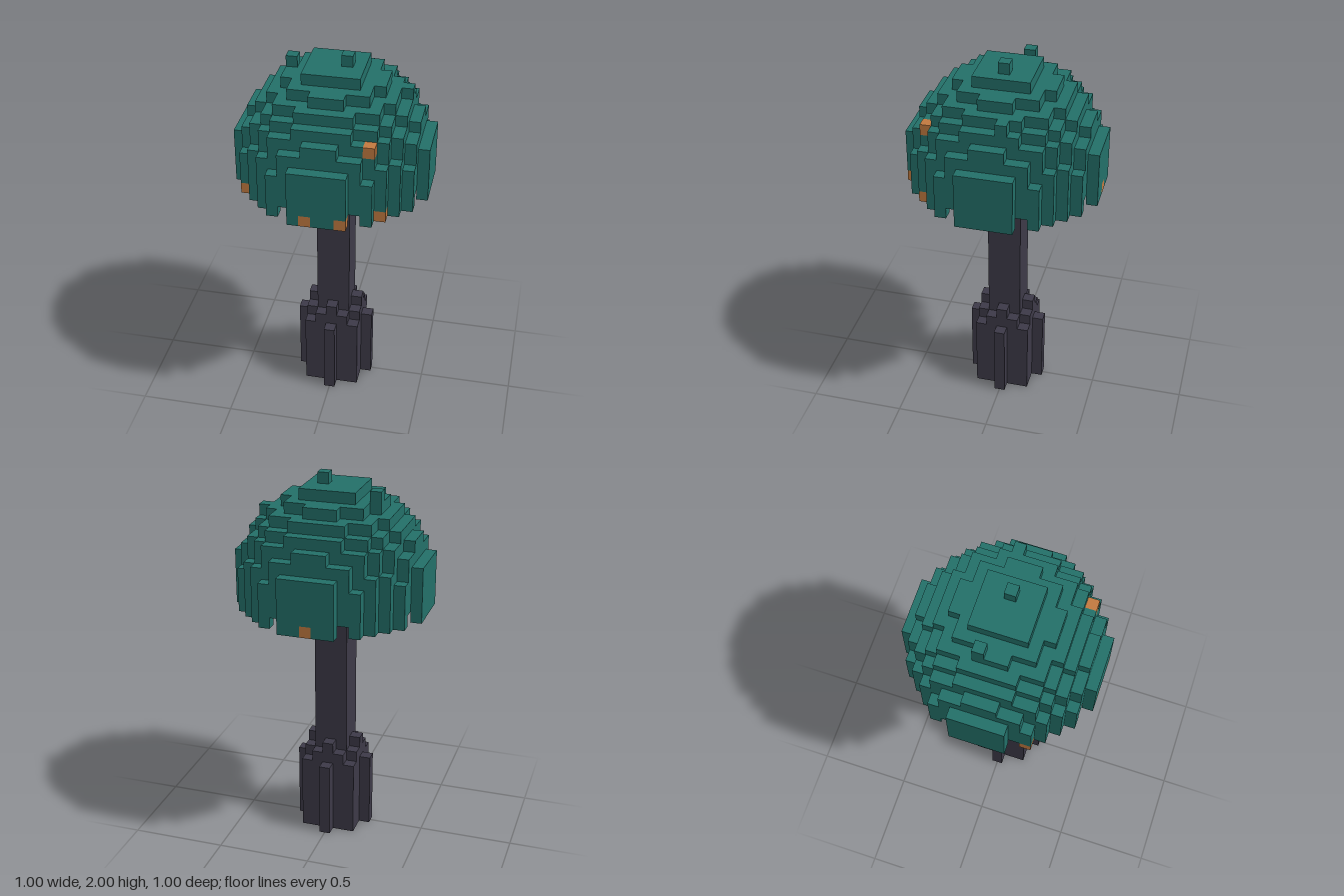
import * as THREE from 'three';
import { mergeGeometries } from 'three/addons/utils/BufferGeometryUtils.js';

const S = 2 / 34; // edge of one block
const key = (x, y, z) => `${x},${y},${z}`;

export function createModel() {
  const mat = (name, color) => {
    const m = new THREE.MeshStandardMaterial({ color });
    m.name = name;
    return m;
  };
  const materials = {
    cap: mat('teal', 0x237069),
    stem: mat('dark violet grey', 0x3d3a48),
    glowBlocks: mat('orange', 0xc27a40),
  };
  const blocks = new Map();
  const put = (part, x, y, z) => blocks.set(key(x, y, z), { part, x, y, z });

  // Cap: hollow dome with a straight skirt and square plates on its extremes
  for (let y = 22; y <= 32; y++) {
    const h = Math.max(0, y - 24);
    for (let x = -8; x <= 8; x++) {
      for (let z = -8; z <= 8; z++) {
        const flat = x * x + z * z;
        const d = flat + h * h;
        const [a, b, c] = [Math.abs(x), Math.abs(z), h].sort((p, q) => p - q);
        const plate = c === 8 && b <= 2 && a <= 2;
        if (d > 68 && !plate) continue;
        // only the outermost ring hangs down to the lowest layer
        if (y === 22 ? flat < 60 : d < 42) continue;
        put('cap', x, y, z);
      }
    }
  }
  // Loose blocks on the dome
  put('cap', 1, 33, 0);
  put('cap', -4, 32, -1);
  put('cap', 6, 30, -1);

  // Stem: 3 x 3 shaft up into the cap
  for (let y = 0; y <= 31; y++) {
    for (let x = -1; x <= 1; x++) for (let z = -1; z <= 1; z++) put('stem', x, y, z);
  }
  // Stepped foot around the shaft
  for (let y = 0; y <= 8; y++) {
    for (let x = -3; x <= 3; x++) {
      for (let z = -3; z <= 3; z++) {
        const a = Math.abs(x), b = Math.abs(z);
        const onAxis = a === 0 || b === 0;
        const square = a <= 2 && b <= 2;
        const inside = y <= 6 ? square || onAxis
          : y === 7 ? square && a + b < 4
            : square && onAxis;
        if (inside) put('stem', x, y, z);
      }
    }
  }

  // Orange blocks on the rim, the dome and the inner wall
  [[2, 22, 8], [-1, 22, 8], [5, 22, 6], [-7, 22, 4], [0, 22, -8], [4, 28, 6],
    [-1, 23, 7], [1, 24, 7], [-7, 24, 1], [6, 24, 3], [0, 27, 6],
  ].forEach(([x, y, z]) => put('glowBlocks', x, y, z));

  // One square per exposed block side
  const sides = [
    [0, 0, 1, 0, 0], [0, 0, -1, 0, Math.PI],
    [1, 0, 0, 0, Math.PI / 2], [-1, 0, 0, 0, -Math.PI / 2],
    [0, 1, 0, -Math.PI / 2, 0], [0, -1, 0, Math.PI / 2, 0],
  ].map(([x, y, z, rx, ry]) => ({
    x, y, z,
    face: new THREE.PlaneGeometry(S, S).rotateX(rx).rotateY(ry)
      .translate(x * S / 2, y * S / 2, z * S / 2),
  }));
  const faces = { cap: [], stem: [], glowBlocks: [] };
  for (const b of blocks.values()) {
    for (const s of sides) {
      if (blocks.has(key(b.x + s.x, b.y + s.y, b.z + s.z))) continue;
      faces[b.part].push(s.face.clone().translate(b.x * S, (b.y + 0.5) * S, b.z * S));
    }
  }

  const model = new THREE.Group();
  model.name = 'blockMushroomTree';
  for (const part of Object.keys(faces)) {
    const mesh = new THREE.Mesh(mergeGeometries(faces[part]), materials[part]);
    mesh.name = part;
    model.add(mesh);
  }
  return model;
}
